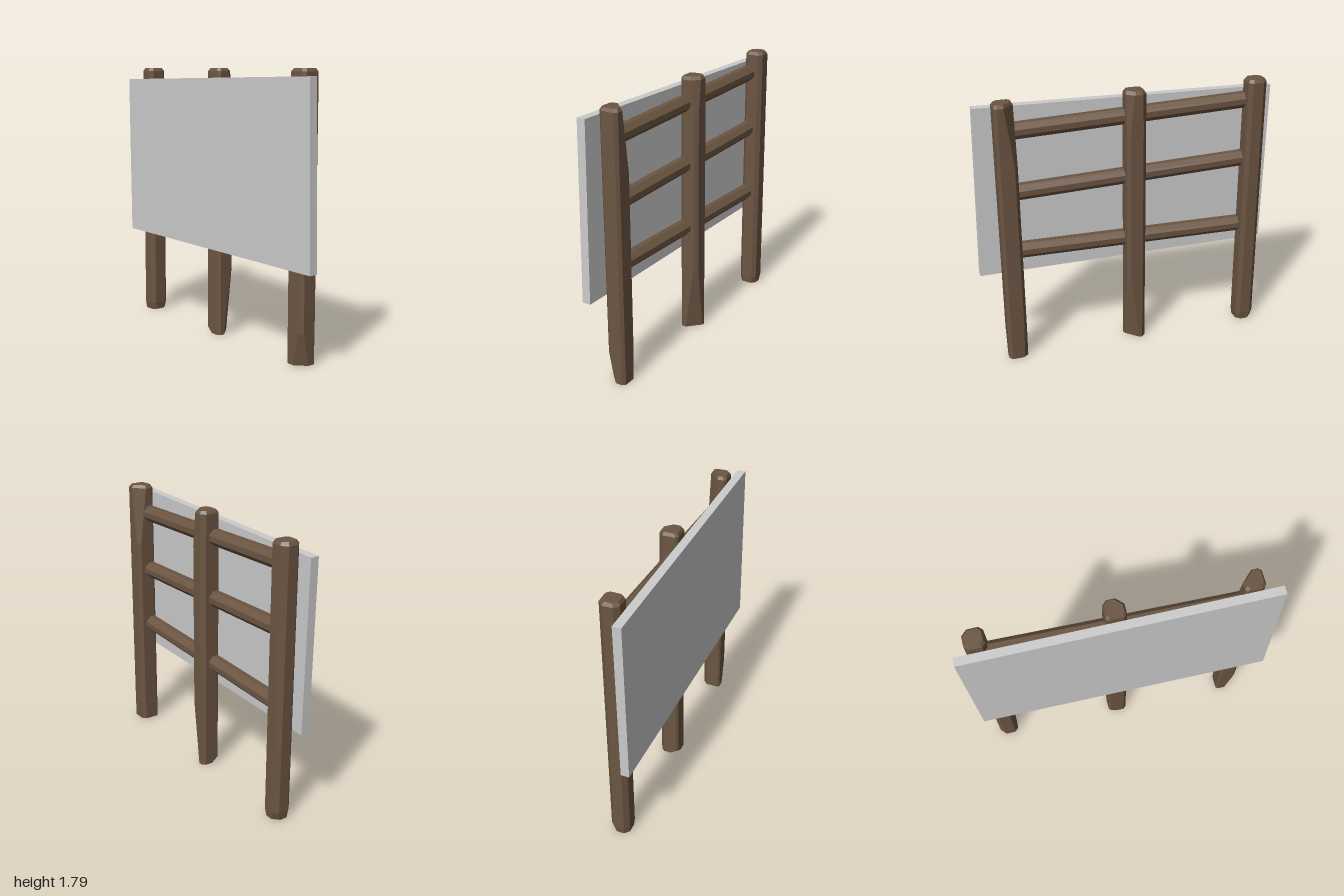
import * as THREE from 'three';

const wood = new THREE.MeshStandardMaterial({ color: 0x6b5542, flatShading: true });
const grey = new THREE.MeshStandardMaterial({ color: 0xcccccc, flatShading: true });

// Sideways drift of the whole sign: it stands slightly turned.
const SLOPE = 0.0175;

// Rectangle with four cut corners, ordered (+,+), (+,-), (-,-), (-,+).
function section(U, V, cuts) {
  const corners = [[1, 1], [1, -1], [-1, -1], [-1, 1]];
  return corners.flatMap(([su, sv], i) => {
    const alongU = [su * (U - cuts[i]), sv * V];
    const alongV = [su * U, sv * (V - cuts[i])];
    return su * sv > 0 ? [alongU, alongV] : [alongV, alongU];
  });
}

// Closed solid through a row of rings, with fan caps.
function loft(rings) {
  const pos = [];
  const tri = (...pts) => pts.forEach((p) => pos.push(...p));
  const n = rings[0].length;
  for (let i = 0; i < rings.length - 1; i++) {
    for (let j = 0; j < n; j++) {
      const k = (j + 1) % n;
      const [a, b, c, d] = [rings[i][j], rings[i][k], rings[i + 1][k], rings[i + 1][j]];
      tri(a, b, c);
      tri(a, c, d);
    }
  }
  const first = rings[0], last = rings[rings.length - 1];
  for (let j = 1; j < n - 1; j++) {
    tri(first[0], first[j + 1], first[j]);
    tri(last[0], last[j], last[j + 1]);
  }
  const geo = new THREE.BufferGeometry();
  geo.setAttribute('position', new THREE.Float32BufferAttribute(pos, 3));
  geo.computeVertexNormals();
  return geo;
}

function add(group, name, geo, material) {
  const mesh = new THREE.Mesh(geo, material);
  mesh.name = name;
  group.add(mesh);
  return mesh;
}

// Hewn post; each level is [height, half width, corner cuts].
function post(x, levels) {
  const z = -0.033 + SLOPE * x;
  return loft(levels.map(([y, half, cuts]) =>
    section(half, half, cuts).map(([u, v]) => [x + u, y, z + v])));
}

// Cross rail between the outer posts.
function rail(yRight, yLeft) {
  const cuts = [0.012, 0.012, 0.034, 0.034];
  return loft([[-0.84, yRight], [0.78, yLeft]].map(([x, y]) =>
    section(0.042, 0.052, cuts).map(([u, v]) => [x, y + v, -0.008 + SLOPE * x + u])));
}

export function createModel() {
  const group = new THREE.Group();
  group.name = 'billboard';

  // Posts: individual corners are hewn away toward the top or foot
  const h = 0.065;
  add(group, 'rightPost', post(-0.857, [
    [0, 0.06, [0.025, 0.03, 0.04, 0.03]],
    [0.05, h, [0.025, 0.025, 0.03, 0.03]],
    [1.77, h, [0.025, 0.025, 0.035, 0.03]],
    [1.79, 0.052, [0.02, 0.02, 0.03, 0.025]],
  ]), wood);
  add(group, 'middlePost', post(-0.033, [
    [0, h, [0.02, 0.085, 0.025, 0.055]],
    [0.035, h, [0.02, 0.08, 0.025, 0.012]],
    [0.45, h, [0.02, 0.025, 0.025, 0.012]],
    [1.55, h, [0.02, 0.022, 0.025, 0.012]],
    [1.77, h, [0.02, 0.045, 0.03, 0.015]],
    [1.79, 0.053, [0.015, 0.045, 0.025, 0.015]],
  ]), wood);
  add(group, 'leftPost', post(0.8, [
    [0, h, [0.065, 0.02, 0.03, 0.012]],
    [0.2, h, [0.025, 0.018, 0.022, 0.012]],
    [1.38, h, [0.022, 0.018, 0.022, 0.012]],
    [1.77, h, [0.022, 0.018, 0.07, 0.015]],
    [1.79, 0.053, [0.02, 0.015, 0.06, 0.015]],
  ]), wood);

  // Rails
  [['topRail', 1.64, 1.59], ['middleRail', 1.23, 1.18], ['bottomRail', 0.74, 0.77]]
    .forEach(([name, yR, yL]) => add(group, name, rail(yR, yL), wood));

  // Crooked board, sheared to follow the posts
  const outline = new THREE.Shape(
    [[-0.985, 0.6], [1, 0.6], [0.975, 1.745], [-1, 1.71]].map(([x, y]) => new THREE.Vector2(x, y)));
  const board = new THREE.ExtrudeGeometry(outline, { depth: 0.056, bevelEnabled: false });
  const p = board.attributes.position;
  for (let i = 0; i < p.count; i++) p.setZ(i, p.getZ(i) + 0.0325 + SLOPE * p.getX(i));
  board.computeVertexNormals();
  add(group, 'board', board, grey);

  return group;
}
